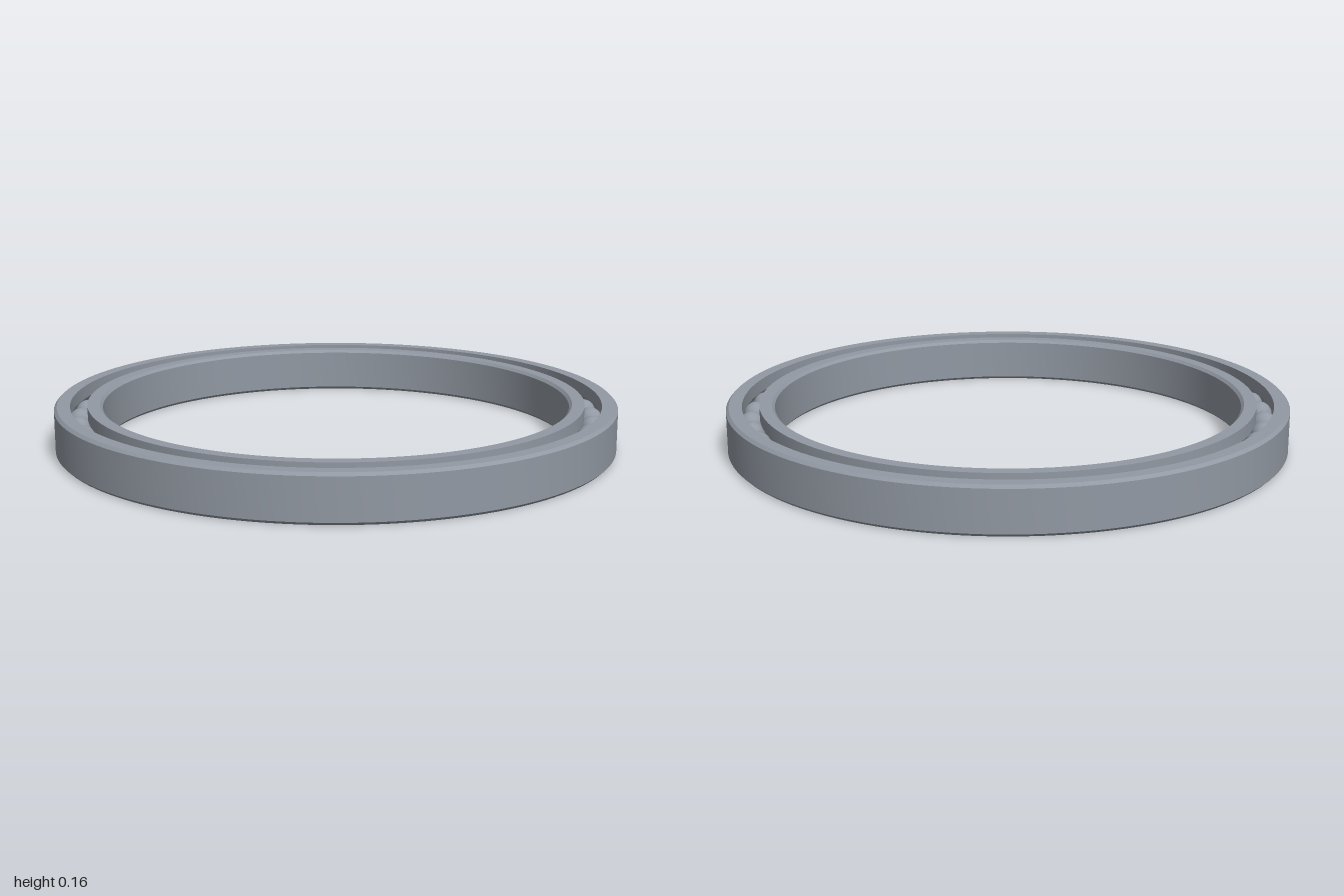
import * as THREE from 'three';
import { toCreasedNormals } from 'three/addons/utils/BufferGeometryUtils.js';

const HEIGHT = 0.164;
const BEVEL = 0.01;
const PITCH = 0.914;      // radius of the circle of balls
const HALF_GAP = 0.03;    // from pitch circle to each ring's face
const BALL_RADIUS = 0.045;
const BALL_COUNT = 45;

// Raceway arc around the ball centre; side is +1 for the outer ring, -1 for the inner
function raceway(side) {
  const r = BALL_RADIUS + 0.001, half = Math.acos(HALF_GAP / r), steps = 10, points = [];
  for (let i = 0; i <= steps; i++) {
    const a = side * half * (1 - (2 * i) / steps);
    points.push([PITCH + side * r * Math.cos(a), HEIGHT / 2 + r * Math.sin(a)]);
  }
  return points;
}

// Closed counter-clockwise section swept round the axis
function ring(name, section, material) {
  const points = [...section, section[0]].map(([x, y]) => new THREE.Vector2(x, y));
  const geometry = toCreasedNormals(new THREE.LatheGeometry(points, 128), Math.PI / 7);
  const mesh = new THREE.Mesh(geometry, material);
  mesh.name = name;
  return mesh;
}

export function createModel() {
  const steel = new THREE.MeshStandardMaterial({ color: 0x9299a3 });
  steel.name = 'steel';
  const group = new THREE.Group();
  group.name = 'ballBearing';

  // Outer ring, bevelled on its outside edges
  const outerFace = PITCH + HALF_GAP;
  group.add(ring('outerRing', [
    [outerFace, 0], [1 - BEVEL, 0], [1, BEVEL], [1, HEIGHT - BEVEL],
    [1 - BEVEL, HEIGHT], [outerFace, HEIGHT], ...raceway(1),
  ], steel));

  // Inner ring, bevelled on its bore edges
  const innerFace = PITCH - HALF_GAP, bore = 0.83;
  group.add(ring('innerRing', [
    [bore + BEVEL, 0], [innerFace, 0], ...raceway(-1), [innerFace, HEIGHT],
    [bore + BEVEL, HEIGHT], [bore, HEIGHT - BEVEL], [bore, BEVEL],
  ], steel));

  // Balls, evenly spaced from the -x side
  const balls = new THREE.Group();
  balls.name = 'balls';
  const ballGeometry = new THREE.SphereGeometry(BALL_RADIUS, 24, 16);
  for (let i = 0; i < BALL_COUNT; i++) {
    const a = Math.PI + (i / BALL_COUNT) * Math.PI * 2;
    const ball = new THREE.Mesh(ballGeometry, steel);
    ball.name = 'ball';
    ball.position.set(PITCH * Math.cos(a), HEIGHT / 2, PITCH * Math.sin(a));
    balls.add(ball);
  }
  group.add(balls);
  return group;
}
